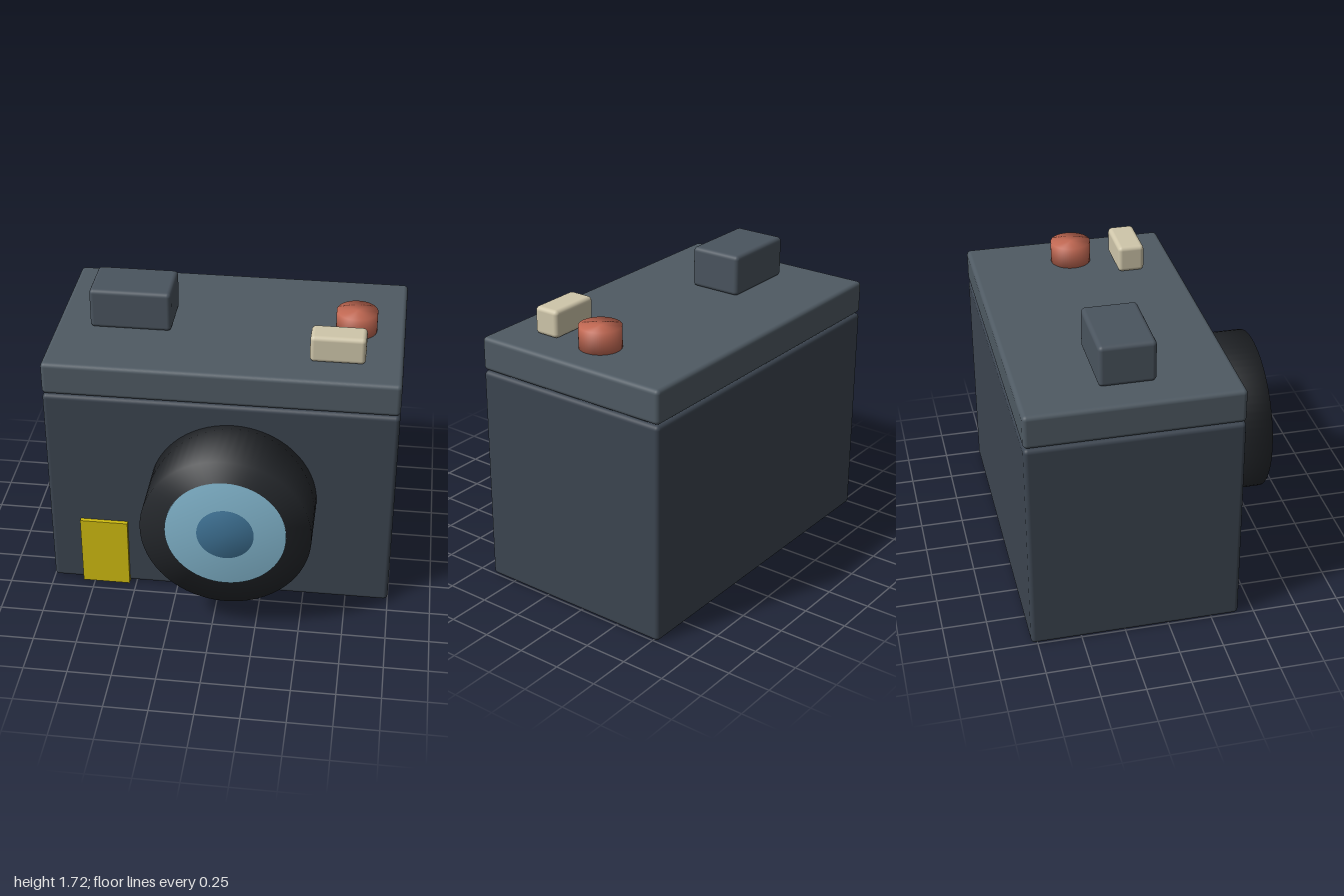
import * as THREE from 'three';
import { RoundedBoxGeometry } from 'three/addons/geometries/RoundedBoxGeometry.js';
import { mergeVertices } from 'three/addons/utils/BufferGeometryUtils.js';

export function createModel() {
  const model = new THREE.Group();

  const add = (name, geometry, color, x, y, z) => {
    const mesh = new THREE.Mesh(geometry, new THREE.MeshStandardMaterial({ color }));
    mesh.name = name;
    mesh.position.set(x, y, z);
    model.add(mesh);
    return mesh;
  };

  // Rounded box given by its min and max along each axis
  const block = (name, color, [x0, x1], [y0, y1], [z0, z1], radius) =>
    add(name, new RoundedBoxGeometry(x1 - x0, y1 - y0, z1 - z0, 3, radius), color,
      (x0 + x1) / 2, (y0 + y1) / 2, (z0 + z1) / 2);

  // Closed cylinder with normals blended over the rim
  const softCylinder = (radius, depth) => {
    const g = new THREE.CylinderGeometry(radius, radius, depth, 64);
    g.deleteAttribute('uv');
    g.deleteAttribute('normal');
    const merged = mergeVertices(g);
    merged.computeVertexNormals();
    return merged;
  };

  // Housing and top plate
  block('body', 0x3c4550, [-1, 1], [0, 1.28], [-0.785, 0.41], 0.025);
  block('topPlate', 0x4f5a63, [-1, 1], [1.285, 1.48], [-0.785, 0.41], 0.025);

  // Parts on the top plate
  block('viewfinder', 0x4a545e, [-0.8, -0.33], [1.48, 1.72], [-0.345, -0.03], 0.025);
  block('flashShoe', 0xcfc6aa, [0.48, 0.79], [1.48, 1.64], [0.055, 0.21], 0.025);
  add('shutterButton', softCylinder(0.118, 0.125), 0xc46a54, 0.72, 1.5425, -0.19);

  // Lens: barrel with two thin glass discs, each slightly proud of the last
  const rings = [
    ['lensBarrel', 0.48, 0.40, 0.772, 0x24272b],
    ['lensGlass', 0.34, 0.74, 0.78, 0x84b8d0],
    ['lensPupil', 0.16, 0.75, 0.785, 0x3f7396],
  ];
  for (const [name, radius, z0, z1, color] of rings) {
    const ring = add(name, softCylinder(radius, z1 - z0), color, 0.08, 0.68, (z0 + z1) / 2);
    ring.rotation.x = Math.PI / 2;
  }

  // Flat accent plate low on the front
  add('frontAccent', new THREE.BoxGeometry(0.28, 0.44, 0.045), 0xd0bc10, -0.68, 0.22, 0.4125);

  return model;
}
